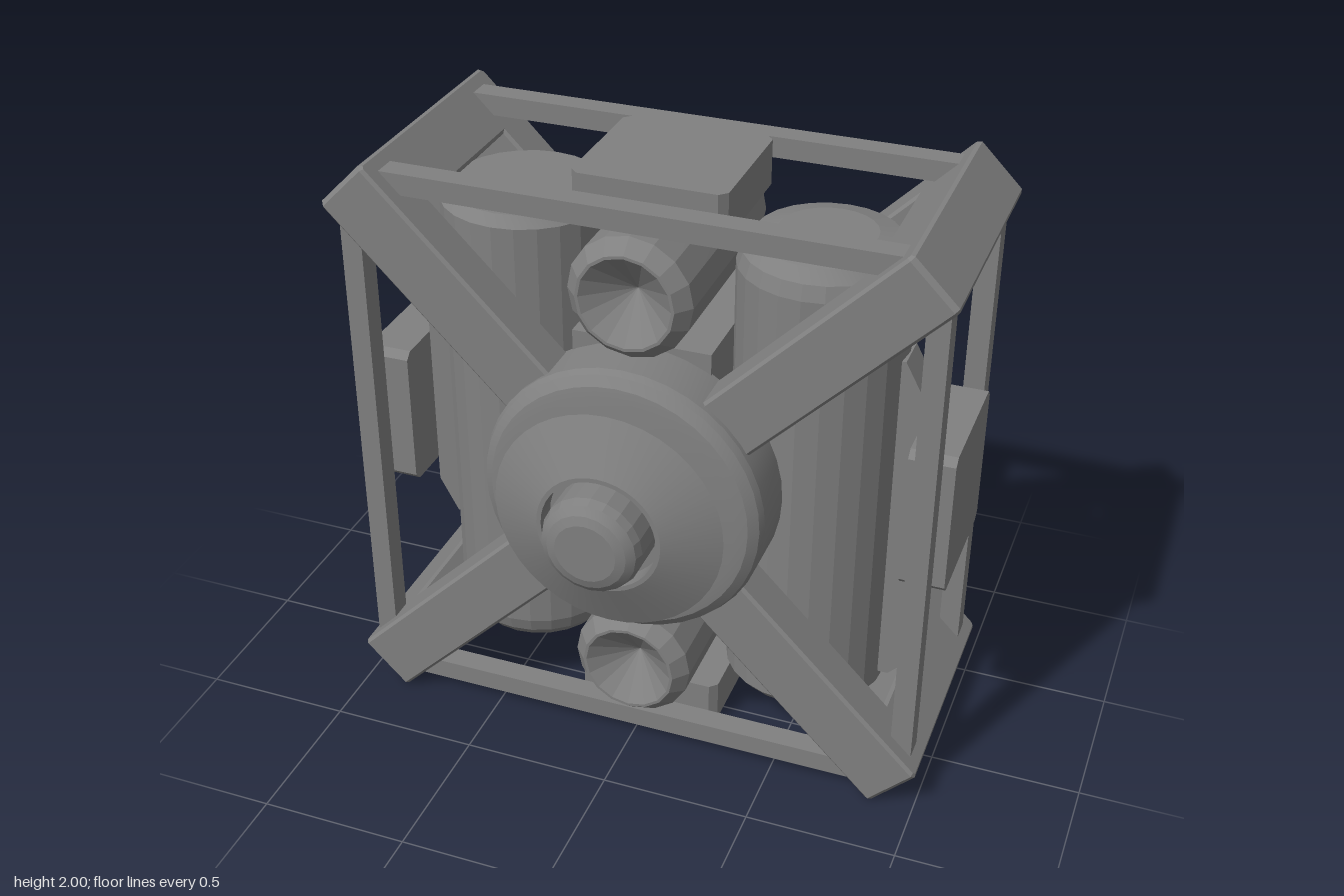
import * as THREE from 'three';
import { toCreasedNormals } from 'three/addons/utils/BufferGeometryUtils.js';

const material = new THREE.MeshStandardMaterial({ color: 0x808080 });

function part(parent, name, geometry, x = 0, y = 0, z = 0) {
  const mesh = new THREE.Mesh(toCreasedNormals(geometry, 0.2), material);
  mesh.name = name;
  mesh.position.set(x, y, z);
  parent.add(mesh);
  return mesh;
}

const box = (w, h, d) => new THREE.BoxGeometry(w, h, d);

const toVectors = (points) => points.map(([x, y]) => new THREE.Vector2(x, y));

// Turned profile of [radius, height] points, running upwards
const lathe = (points, sides) => new THREE.LatheGeometry(toVectors(points), sides);

// Same, with its axis along z
const latheZ = (points, sides) => lathe(points, sides).rotateX(Math.PI / 2);

// Rectangle with clipped corners
function clippedRect(w, h, c) {
  const a = w / 2, b = h / 2;
  return new THREE.Shape(toVectors([
    [-a + c, -b], [a - c, -b], [a, -b + c], [a, b - c],
    [a - c, b], [-a + c, b], [-a, b - c], [-a, -b + c],
  ]));
}

// Extrusion centred on its depth, with a narrow chamfer
function extrude(shape, depth, bevel = 0.015) {
  return new THREE.ExtrudeGeometry(shape, {
    depth: depth - 2 * bevel, bevelEnabled: bevel > 0, bevelSegments: 1,
    bevelSize: bevel, bevelOffset: -bevel, bevelThickness: bevel,
  }).translate(0, 0, bevel - depth / 2);
}

export function createModel() {
  const model = new THREE.Group();
  model.name = 'thrusterPack';
  const core = new THREE.Group();
  core.name = 'body';
  core.position.y = 1;
  model.add(core);

  // Two diagonal hoops: front arms, corner plates and back arms
  const hoop = clippedRect(2.63, 0.875, 0.015);
  hoop.holes.push(new THREE.Path(toVectors([
    [-1.1, -0.28], [-1.1, 0.28], [1.1, 0.28], [1.1, -0.28],
  ])));
  for (const side of [-1, 1]) {
    const geometry = extrude(hoop, 0.214, 0.01).rotateX(Math.PI / 2).rotateZ(side * Math.PI / 4);
    part(core, 'diagonalHoop', geometry, 0, 0, -0.15);
  }

  // Back hub, centre block and thin back panel on its mount
  part(core, 'backHub', extrude(clippedRect(1, 1, 0.02), 0.15), 0, 0, -0.51);
  part(core, 'centreBlock', box(0.46, 0.98, 0.58), 0, 0, -0.15);
  part(core, 'panelMount', box(0.64, 0.64, 0.04), 0, 0, -0.59);
  part(core, 'backPanel', extrude(clippedRect(0.76, 0.76, 0.07), 0.018, 0.006), 0, 0, -0.609);

  // Front drum, flared skirt and button
  part(core, 'frontDrum', latheZ([
    [0, 0.13], [0.47, 0.13], [0.47, 0.305], [0.46, 0.33], [0.43, 0.353], [0.39, 0.36], [0, 0.36],
  ], 40), 0, 0.01);
  part(core, 'flaredSkirt', latheZ([
    [0.16, 0.43], [0.375, 0.43], [0.38, 0.435], [0.205, 0.515], [0.19, 0.515], [0.19, 0.44], [0.16, 0.44],
  ], 40), 0, 0.01);
  part(core, 'button', latheZ([
    [0.19, 0.35], [0.19, 0.37], [0.165, 0.37], [0.165, 0.56], [0.155, 0.59], [0.13, 0.61], [0.1, 0.62], [0, 0.62],
  ], 20), 0, 0.01);

  // Upright tanks with a strip outside; the second is the first turned over
  const stripShape = new THREE.Shape(toVectors([
    [0.72, -0.75], [0.85, -0.75], [0.85, 0.34], [0.785, 0.46], [0.72, 0.46],
  ]));
  for (const turn of [0, Math.PI]) {
    const tank = new THREE.Group();
    tank.name = turn ? 'rightTank' : 'leftTank';
    tank.rotation.z = turn;
    core.add(tank);
    part(tank, 'tankShell', lathe([
      [0, -0.825], [0.25, -0.825], [0.28, -0.79], [0.28, 0.72],
      [0.265, 0.77], [0.23, 0.81], [0.155, 0.828], [0, 0.828],
    ], 24), 0.5, 0, -0.15);
    part(tank, 'tankStrip', extrude(stripShape, 0.13, 0), 0, 0, -0.145);
  }

  // Nozzle pods above and below: round back, hollow cone in front
  for (const side of [-1, 1]) {
    part(core, 'nozzlePod', latheZ([
      [0, -0.595], [0.09, -0.588], [0.155, -0.56], [0.19, -0.505], [0.203, -0.43],
      [0.203, 0.23], [0.16, 0.28], [0.15, 0.28], [0, 0.16],
    ], 16), 0, 0, 0).position.y = side * 0.69;
  }

  // Outer pads and paired rails on all four sides
  for (let i = 0; i < 4; i++) {
    const side = new THREE.Group();
    side.name = 'sideAssembly';
    side.rotation.z = i * Math.PI / 2;
    core.add(side);
    part(side, 'pad', extrude(clippedRect(0.5, 0.47, 0.025), 0.15, 0).rotateX(Math.PI / 2), 0, 0.925, -0.145);
    for (const z of [0.19, -0.485]) part(side, 'rail', box(1.64, 0.07, 0.08), 0, 0.935, z);
  }
  return model;
}
